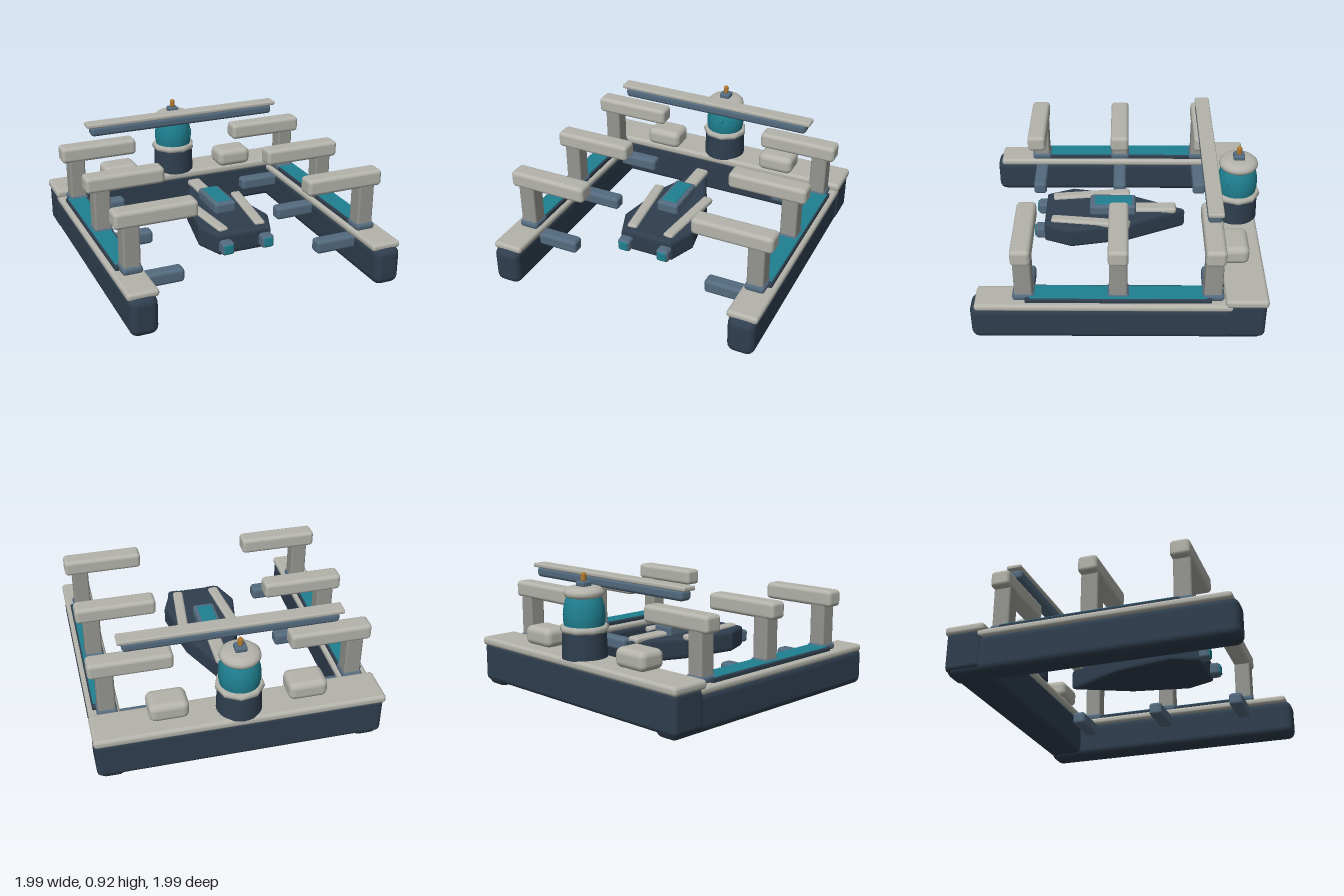
import * as THREE from 'three';
import { RoundedBoxGeometry } from 'three/addons/geometries/RoundedBoxGeometry.js';

const paint = (color) => new THREE.MeshStandardMaterial({ color });
const DARK = paint(0x2f3e4e), STEEL = paint(0x536a7e), PALE = paint(0xb4b4ac),
  GREY = paint(0x94948f), TEAL = paint(0x1f8090), AMBER = paint(0xb07a30);

export function createModel() {
  const root = new THREE.Group();

  function add(name, geometry, material, parent = root) {
    const mesh = new THREE.Mesh(geometry, material);
    mesh.name = name;
    parent.add(mesh);
    return mesh;
  }
  // Rounded box given by its [min, max] range on each axis
  function box(name, [x0, x1], [y0, y1], [z0, z1], radius, material, parent = root) {
    const mesh = add(name, new RoundedBoxGeometry(x1 - x0, y1 - y0, z1 - z0, 3, radius), material, parent);
    mesh.position.set((x0 + x1) / 2, (y0 + y1) / 2, (z0 + z1) / 2);
    return mesh;
  }
  // The same box on both sides
  function pair(name, [x0, x1], y, z, radius, material, parent = root) {
    return [box(name + 'Left', [x0, x1], y, z, radius, material, parent),
      box(name + 'Right', [-x1, -x0], y, z, radius, material, parent)];
  }

  // U-shaped dock: two side hulls and a rear hull, each with a deck
  pair('sideHull', [0.785, 0.975], [0, 0.27], [-0.96, 1], 0.055, DARK);
  pair('sideDeck', [0.77, 0.985], [0.25, 0.302], [-0.75, 0.965], 0.022, PALE);
  box('rearHull', [-0.985, 0.985], [0.03, 0.31], [-0.965, -0.705], 0.035, DARK);
  box('rearDeck', [-0.995, 0.995], [0.29, 0.352], [-0.975, -0.69], 0.025, PALE);
  pair('walkwayTrim', [0.797, 0.953], [0.295, 0.332], [-0.6, 0.63], 0.01, DARK);
  pair('walkwayPanel', [0.81, 0.943], [0.32, 0.338], [-0.57, 0.6], 0.006, TEAL);

  // Mooring cranes with a fender below each one
  for (const z of [0.64, 0.015, -0.61]) {
    pair('craneBase', [0.79, 0.93], [0.295, 0.348], [z - 0.075, z + 0.075], 0.022, STEEL);
    pair('cranePost', [0.8, 0.918], [0.33, 0.65], [z - 0.06, z + 0.06], 0.015, GREY);
    pair('craneArm', [0.4, 0.97], [0.617, 0.735], [z - 0.067, z + 0.067], 0.028, PALE);
    pair('fender', [0.495, 0.84], [0.16, 0.258], [z - 0.05, z + 0.05], 0.025, STEEL);
  }

  // Gantry beam in front of the tower
  box('gantryBeam', [-0.735, 0.735], [0.79, 0.862], [-0.66, -0.563], 0.025, STEEL);
  box('gantryRail', [-0.765, 0.765], [0.857, 0.887], [-0.666, -0.56], 0.01, PALE);

  // Lockers on the rear deck
  pair('locker', [0.34, 0.61], [0.345, 0.48], [-0.877, -0.673], 0.045, PALE);

  // Control tower
  const tower = new THREE.Group();
  tower.name = 'controlTower';
  tower.position.z = -0.83;
  root.add(tower);
  const lathe = (name, points, sides, material) =>
    add(name, new THREE.LatheGeometry(points.map(([r, y]) => new THREE.Vector2(r, y)), sides, Math.PI / 2), material, tower);
  add('towerBase', new THREE.CylinderGeometry(0.148, 0.155, 0.2, 32), DARK, tower).position.y = 0.445;
  lathe('towerCollar', [[0, 0.522], [0.152, 0.522], [0.164, 0.53], [0.167, 0.545], [0.164, 0.56], [0.152, 0.568], [0, 0.568]], 9, PALE);
  lathe('towerGlass', [[0.134, 0.56], [0.141, 0.6], [0.142, 0.64], [0.137, 0.69], [0.127, 0.73], [0.112, 0.765]], 32, TEAL);
  lathe('towerCap', [[0, 0.752], [0.105, 0.752], [0.128, 0.762], [0.138, 0.78], [0.134, 0.8], [0.115, 0.818], [0.08, 0.827], [0, 0.829]], 32, PALE);
  for (const angle of [0.14, 0.96]) {
    const slit = add('towerWindow', new RoundedBoxGeometry(0.022, 0.065, 0.016, 2, 0.005), TEAL, tower);
    slit.position.set(Math.sin(angle) * 0.138, 0.655, Math.cos(angle) * 0.138);
    slit.rotation.y = angle;
  }
  box('beaconMount', [-0.04, 0.04], [0.82, 0.862], [-0.04, 0.04], 0.014, STEEL, tower);
  add('beacon', new THREE.CapsuleGeometry(0.019, 0.03, 4, 12), AMBER, tower).position.y = 0.886;

  // Docked craft: bevelled arrow-shaped hull, its outline drawn in x and -z
  const craft = new THREE.Group();
  craft.name = 'dockedCraft';
  root.add(craft);
  const outline = new THREE.Shape([[0, 0.425], [0.165, 0.045], [0.24, -0.355], [0.175, -0.525],
    [-0.175, -0.525], [-0.24, -0.355], [-0.165, 0.045]].map(([x, y]) => new THREE.Vector2(x, y)));
  const hull = new THREE.ExtrudeGeometry(outline, {
    depth: 0.1, bevelThickness: 0.03, bevelSize: 0.027, bevelSegments: 3,
  });
  hull.rotateX(-Math.PI / 2);
  add('craftHull', hull, DARK, craft).position.y = 0.255;

  box('noseSpine', [-0.05, 0.05], [0.365, 0.412], [-0.4, -0.06], 0.02, PALE, craft);
  box('cockpitFrame', [-0.081, 0.081], [0.37, 0.458], [-0.107, 0.228], 0.022, STEEL, craft);
  box('cockpitGlass', [-0.055, 0.055], [0.43, 0.464], [-0.08, 0.192], 0.008, TEAL, craft);
  for (const side of [1, -1]) {
    const rail = add('craftRail', new RoundedBoxGeometry(0.075, 0.045, 0.57, 3, 0.018), PALE, craft);
    rail.position.set(side * 0.168, 0.383, 0.22);
    rail.rotation.y = -side * 0.11;
  }
  pair('thruster', [0.102, 0.194], [0.25, 0.342], [0.48, 0.618], 0.022, STEEL, craft);
  pair('thrusterGlow', [0.115, 0.181], [0.263, 0.329], [0.59, 0.624], 0.008, TEAL, craft);

  return root;
}
